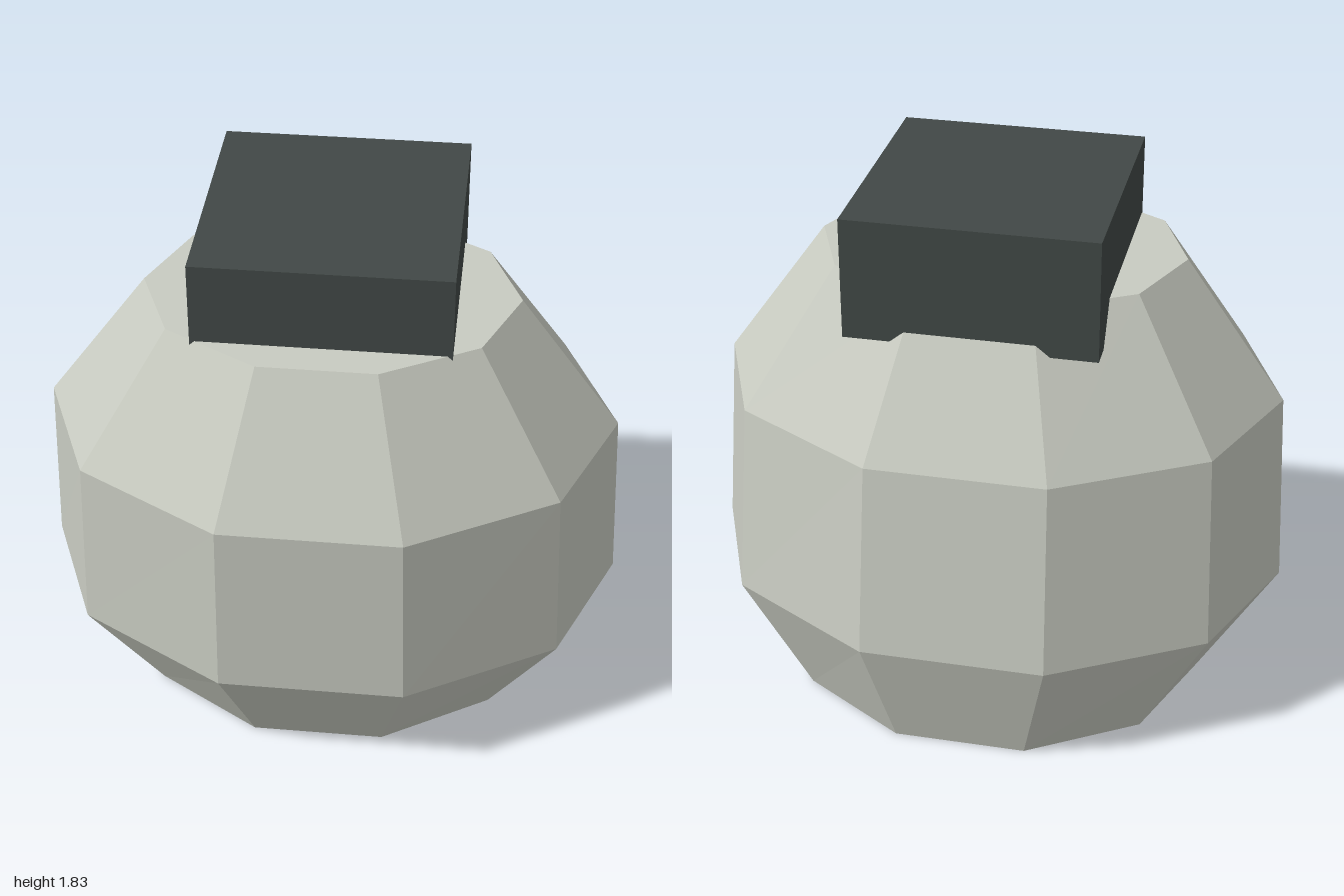
import * as THREE from 'three';

// Body rings from bottom to top: height, x radius, z radius, z centre
const RINGS = [
  [0, 0.725, 0.62, -0.06],
  [0.415, 1.0, 0.795, -0.007],
  [1.075, 0.965, 0.76, 0.043],
  [1.555, 0.62, 0.484, 0.06],
];

// Ten-sided faceted body, shaped ring by ring from a unit cylinder
function bodyGeometry() {
  const last = RINGS.length - 1;
  const geometry = new THREE.CylinderGeometry(1, 1, 1, 10, last, false, Math.PI / 2);
  const p = geometry.attributes.position;
  for (let i = 0; i < p.count; i++) {
    const [y, rx, rz, cz] = RINGS[Math.round((p.getY(i) + 0.5) * last)];
    p.setXYZ(i, p.getX(i) * rx, y, p.getZ(i) * rz + cz);
  }
  geometry.computeVertexNormals();
  return geometry;
}

export function createModel() {
  const model = new THREE.Group();
  const add = (name, geometry, color) => {
    const mesh = new THREE.Mesh(
      geometry,
      new THREE.MeshStandardMaterial({ color, flatShading: true })
    );
    mesh.name = name;
    model.add(mesh);
    return mesh;
  };

  add('body', bodyGeometry(), 0xc8cbc1);

  // Square cap sunk into the top, overhanging the back slope
  const cap = add('cap', new THREE.BoxGeometry(0.83, 0.41, 0.86), 0x414846);
  cap.position.set(0, 1.625, -0.027);

  return model;
}
